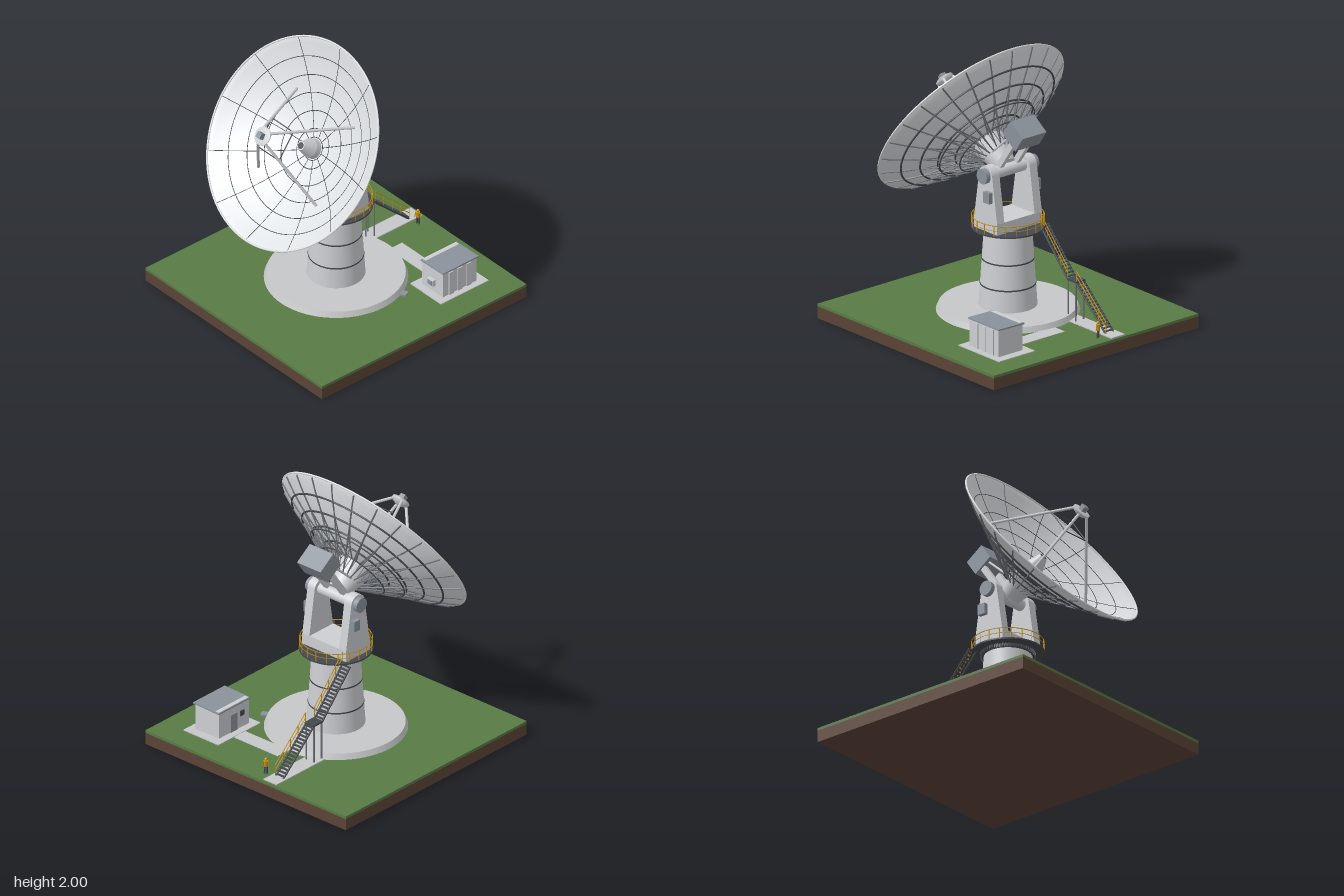
import * as THREE from 'three';

const mat = (name, color, extra = {}) => {
  const m = new THREE.MeshStandardMaterial({ color, ...extra });
  m.name = name;
  return m;
};

export function createModel() {
  const root = new THREE.Group();
  root.name = 'radioTelescope';
  const grass = mat('grass', 0x587a45), soil = mat('soil', 0x5b4336), concrete = mat('concrete', 0xc6c7c8);
  const paint = mat('white paint', 0xcdcfd3), dishWhite = mat('dish white', 0xdfe2e5, { side: THREE.DoubleSide });
  const steel = mat('dark steel', 0x45494f), truss = mat('truss grey', 0x71767c);
  const blueGrey = mat('blue grey', 0x8a929b), yellow = mat('safety yellow', 0xc8930f), skin = mat('skin', 0xb98562);
  const V = (x, y, z) => new THREE.Vector3(x, y, z);

  const add = (parent, name, geo, material, x = 0, y = 0, z = 0) => {
    const m = new THREE.Mesh(geo, material);
    m.name = name;
    m.position.set(x, y, z);
    parent.add(m);
    return m;
  };
  const group = (name, parent = root) => {
    const g = new THREE.Group();
    g.name = name;
    parent.add(g);
    return g;
  };
  // box given by its min and max on each axis
  const box = (parent, name, m, x0, x1, y0, y1, z0, z1) =>
    add(parent, name, new THREE.BoxGeometry(x1 - x0, y1 - y0, z1 - z0), m, (x0 + x1) / 2, (y0 + y1) / 2, (z0 + z1) / 2);
  // upright cylinder or cone from y0 to y1
  const drum = (parent, name, m, r0, r1, y0, y1, n = 64) =>
    add(parent, name, new THREE.CylinderGeometry(r1, r0, y1 - y0, n), m, 0, (y0 + y1) / 2, 0);
  // round bar between two points
  const strut = (parent, name, m, a, b, r, n = 6) => {
    const s = add(parent, name, new THREE.CylinderGeometry(r, r, a.distanceTo(b), n), m);
    s.position.copy(a).lerp(b, 0.5);
    s.quaternion.setFromUnitVectors(V(0, 1, 0), b.clone().sub(a).normalize());
    return s;
  };

  // ---- ground, footing and paths
  box(root, 'soil', soil, -0.915, 0.915, 0, 0.085, -0.915, 0.915);
  box(root, 'grass', grass, -0.915, 0.915, 0.085, 0.105, -0.915, 0.915);
  drum(root, 'footing', concrete, 0.49, 0.473, 0.105, 0.145, 72);
  box(root, 'stairPad', concrete, -0.27, -0.15, 0.105, 0.112, -0.9, -0.4);
  box(root, 'path', concrete, 0, 0.41, 0.105, 0.109, -0.59, -0.475);
  box(root, 'shedPad', concrete, 0.4, 0.72, 0.105, 0.112, -0.745, -0.32);
  box(root, 'cableCover', blueGrey, 0.435, 0.485, 0.105, 0.118, -0.235, -0.185).rotation.y = 0.45;

  // ---- tower
  const tower = group('tower');
  drum(tower, 'towerShaft', paint, 0.2, 0.165, 0.145, 0.69);
  for (const y of [0.3, 0.48]) {
    const r = 0.2 - (y - 0.145) * 0.0642 + 0.002;
    drum(tower, 'towerBand', steel, r, r, y - 0.005, y + 0.005);
  }
  drum(tower, 'bearingRing', steel, 0.178, 0.178, 0.68, 0.706);
  for (let i = 0; i < 60; i++) {
    const a = i * Math.PI / 30;
    add(tower, 'bearingTooth', new THREE.BoxGeometry(0.014, 0.024, 0.01), steel,
      Math.cos(a) * 0.183, 0.693, Math.sin(a) * 0.183).rotation.y = -a;
  }

  // ---- platform with railing
  const platform = group('platform');
  drum(platform, 'deck', steel, 0.253, 0.253, 0.704, 0.715);
  for (const [y, r] of [[0.753, 0.0022], [0.789, 0.003]])
    add(platform, 'railing', new THREE.TorusGeometry(0.248, r, 5, 64), yellow, 0, y, 0).rotation.x = Math.PI / 2;
  for (let i = 0; i < 20; i++) {
    const a = (i + 0.5) * Math.PI / 10, x = Math.cos(a) * 0.248, z = Math.sin(a) * 0.248;
    strut(platform, 'railPost', yellow, V(x, 0.715, z), V(x, 0.789, z), 0.003);
  }

  // ---- yoke
  const yoke = group('yoke');
  box(yoke, 'yokeBase', paint, -0.2, 0.2, 0.715, 0.795, -0.12, 0.12);
  const arm = new THREE.Shape();
  arm.moveTo(-0.12, 0.79);
  arm.lineTo(0.12, 0.79);
  arm.absarc(0, 1.117, 0.068, 0.15, Math.PI - 0.15, false);
  const armGeo = new THREE.ExtrudeGeometry(arm, { depth: 0.065, bevelEnabled: false, curveSegments: 16 });
  armGeo.rotateY(Math.PI / 2);
  for (const s of [-1, 1]) {
    add(yoke, 'yokeArm', armGeo, paint, s > 0 ? 0.135 : -0.2, 0, 0);
    strut(yoke, 'bearingCap', blueGrey, V(s * 0.198, 1.117, 0), V(s * 0.235, 1.117, 0), 0.053, 32);
    box(yoke, 'driveBox', blueGrey, s * 0.215 - 0.017, s * 0.215 + 0.017, 0.935, 1.013, -0.072, -0.012);
  }
  strut(yoke, 'axle', paint, V(-0.19, 1.117, 0), V(0.19, 1.117, 0), 0.042, 24);

  // ---- dish, built around its own +z axis and tilted up
  const dish = group('dishAssembly');
  dish.position.y = 1.117;
  dish.rotation.x = -35 * Math.PI / 180;
  const R = 0.74, bowl = r => 0.245 + 0.416 * r * r;
  const polar = (r, a, w) => V(Math.sin(a) * r, Math.cos(a) * r, w);
  const profile = [];
  for (let i = 0; i <= 20; i++) profile.push(new THREE.Vector2(R * i / 20, bowl(R * i / 20) - 0.008));
  for (let i = 20; i >= 0; i--) profile.push(new THREE.Vector2(R * i / 20, bowl(R * i / 20)));
  add(dish, 'reflector', new THREE.LatheGeometry(profile, 96).rotateX(Math.PI / 2), dishWhite);
  add(dish, 'rim', new THREE.TorusGeometry(R, 0.007, 8, 96), dishWhite, 0, 0, bowl(R));

  // panel seams on the face and hoops behind
  const rings = [0.08, 0.14, 0.26, 0.38, 0.495, 0.615];
  for (const r of rings) {
    add(dish, 'ringSeam', new THREE.TorusGeometry(r, 0.003, 4, 72), steel, 0, 0, bowl(r));
    if (r > 0.2) add(dish, 'backHoop', new THREE.TorusGeometry(r, 0.007, 5, 72), steel, 0, 0, bowl(r) - 0.014);
  }
  const radial = (a, r0, r1, off) => new THREE.CatmullRomCurve3(
    [0, 0.25, 0.5, 0.75, 1].map(t => r0 + (r1 - r0) * t).map(r => polar(r, a, bowl(r) + off)));
  for (let i = 0; i < 12; i++)
    add(dish, 'radialSeam', new THREE.TubeGeometry(radial(i * Math.PI / 6, 0.08, 0.735, 0), 12, 0.0024, 4), steel);

  // back ribs: upper chord, lower chord and web
  const chord = r => 0.125 + (r - 0.12) * 0.545;
  for (let i = 0; i < 24; i++) {
    const a = i * Math.PI / 12;
    const rib = group('backRib', dish);
    add(rib, 'upperChord', new THREE.TubeGeometry(radial(a, 0.12, 0.735, -0.013), 10, 0.006, 4), truss);
    strut(rib, 'lowerChord', truss, polar(0.12, a, chord(0.12)), polar(0.735, a, chord(0.735)), 0.005, 5);
    for (let k = 1; k < 5; k++) {
      const r = rings[k], q = rings[k + 1];
      strut(rib, 'webPost', truss, polar(r, a, chord(r)), polar(r, a, bowl(r) - 0.01), 0.0035, 4);
      strut(rib, 'webDiagonal', truss, polar(r, a, chord(r)), polar(q, a, bowl(q) - 0.012), 0.0035, 4);
    }
  }
  for (const r of [0.26, 0.38])
    add(dish, 'lowerHoop', new THREE.TorusGeometry(r, 0.005, 5, 48), steel, 0, 0, chord(r));

  // hub and feed horn
  const axial = (name, m, r0, r1, w0, w1, n = 40) =>
    add(dish, name, new THREE.CylinderGeometry(r1, r0, w1 - w0, n).rotateX(Math.PI / 2), m, 0, 0, (w0 + w1) / 2);
  axial('hub', paint, 0.075, 0.13, 0.03, 0.24);
  axial('hornBase', paint, 0.07, 0.066, 0.245, 0.29);
  axial('feedHorn', paint, 0.066, 0.031, 0.29, 0.385);
  axial('hornMouth', steel, 0.023, 0.023, 0.385, 0.388);

  // subreflector on four legs with a square brace
  const sub = [[0, 0.765], [0.03, 0.769], [0.055, 0.781], [0.066, 0.795], [0.066, 0.806], [0, 0.806]];
  add(dish, 'subreflector', new THREE.LatheGeometry(sub.map(p => new THREE.Vector2(...p)), 32).rotateX(Math.PI / 2), paint);
  box(dish, 'feedBox', blueGrey, -0.021, 0.021, -0.021, 0.021, 0.806, 0.845);
  const corners = [[1, 1], [1, -1], [-1, -1], [-1, 1]];
  corners.forEach(([x, y], i) => {
    strut(dish, 'feedLeg', paint, V(x * 0.3, y * 0.3, 0.322), V(x * 0.035, y * 0.035, 0.793), 0.0105, 8);
    const [u, v] = corners[(i + 1) % 4];
    strut(dish, 'feedBrace', steel, V(x * 0.11, y * 0.11, 0.66), V(u * 0.11, v * 0.11, 0.66), 0.004);
  });

  // counterweight
  box(dish, 'counterweight', blueGrey, -0.107, 0.107, 0.286, 0.42, -0.043, 0.115);
  for (const s of [-1, 1]) {
    box(dish, 'counterweightBeam', paint, s * 0.075 - 0.017, s * 0.075 + 0.017, 0.0, 0.29, 0.0, 0.042);
    strut(dish, 'counterweightBrace', paint, V(s * 0.075, 0.06, 0.13), V(s * 0.075, 0.29, 0.075), 0.008);
  }

  // ---- stairs: two flights and a landing
  const stairs = group('stairs');
  const xl = -0.247, xr = -0.178;
  const flight = (y0, z0, y1, z1) => {
    const steps = 16;
    for (const x of [xl, xr]) strut(stairs, 'stringer', steel, V(x, y0 - 0.01, z0), V(x, y1 - 0.01, z1), 0.007);
    for (let i = 0; i < steps; i++) {
      const t = (i + 0.5) / steps, y = y0 + (y1 - y0) * t, z = z0 + (z1 - z0) * t;
      box(stairs, 'tread', steel, xl, xr, y - 0.003, y + 0.003, z - 0.0085, z + 0.0085);
    }
    for (const h of [0.04, 0.08])
      strut(stairs, 'handrail', yellow, V(xr, y0 + h, z0), V(xr, y1 + h, z1), 0.003);
    for (let i = 0; i <= 4; i++) {
      const y = y0 + (y1 - y0) * i / 4, z = z0 + (z1 - z0) * i / 4;
      strut(stairs, 'handrailPost', yellow, V(xr, y, z), V(xr, y + 0.08, z), 0.0025);
    }
  };
  flight(0.71, -0.13, 0.4, -0.415);
  flight(0.395, -0.505, 0.115, -0.81);
  box(stairs, 'landing', steel, -0.254, -0.171, 0.388, 0.4, -0.508, -0.412);
  for (const x of [xl, xr]) for (const z of [-0.42, -0.497])
    strut(stairs, 'landingLeg', truss, V(x, 0.11, z), V(x, 0.39, z), 0.006);

  // ---- equipment shed
  const shed = group('shed');
  box(shed, 'walls', paint, 0.455, 0.67, 0.11, 0.305, -0.68, -0.378);
  box(shed, 'roof', blueGrey, 0.447, 0.68, 0.304, 0.314, -0.692, -0.372).rotation.z = 0.025;
  box(shed, 'roofEdge', paint, 0.452, 0.484, 0.308, 0.315, -0.682, -0.385);
  box(shed, 'airConditioner', paint, 0.535, 0.595, 0.17, 0.217, -0.38, -0.352);
  box(shed, 'airGrille', blueGrey, 0.543, 0.587, 0.176, 0.211, -0.353, -0.35);
  box(shed, 'door', blueGrey, 0.45, 0.457, 0.112, 0.245, -0.565, -0.5);
  box(shed, 'sideVent', steel, 0.45, 0.457, 0.2, 0.24, -0.465, -0.425);
  for (const z of [-0.61, -0.53, -0.45]) box(shed, 'pilaster', paint, 0.668, 0.677, 0.112, 0.295, z - 0.02, z + 0.02);

  // ---- worker beside the stairs
  const worker = group('worker');
  worker.position.set(-0.1, 0.105, -0.82);
  worker.rotation.y = 0.4;
  for (const s of [-1, 1]) {
    strut(worker, 'leg', steel, V(s * 0.009, 0, 0), V(s * 0.007, 0.055, 0), 0.0065, 8);
    strut(worker, 'arm', yellow, V(s * 0.017, 0.093, 0), V(s * 0.022, 0.055, 0.005), 0.0042, 8);
  }
  drum(worker, 'vest', yellow, 0.012, 0.015, 0.053, 0.097, 12);
  add(worker, 'head', new THREE.SphereGeometry(0.0095, 12, 8), skin, 0, 0.107, 0);
  add(worker, 'helmet', new THREE.SphereGeometry(0.0115, 12, 6, 0, Math.PI * 2, 0, Math.PI / 2), yellow, 0, 0.109, 0);

  return root;
}
